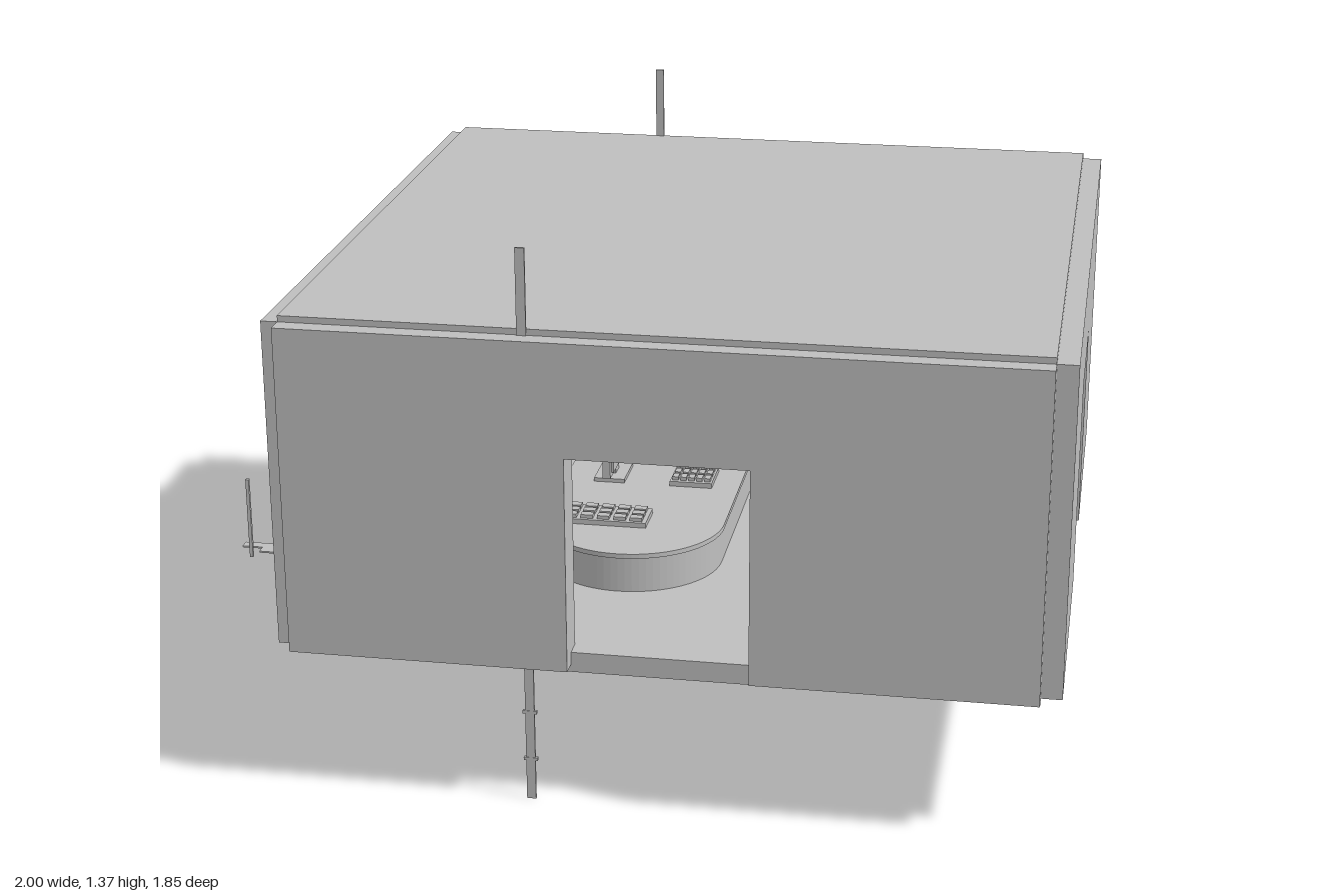
import * as THREE from 'three';

export function createModel() {
  const model = new THREE.Group();
  model.name = 'room';
  const grey = new THREE.MeshStandardMaterial({ color: 0xbfbfbf, side: THREE.DoubleSide });
  grey.name = 'plain grey';

  const add = (name, geometry, parent = model) => {
    const mesh = new THREE.Mesh(geometry, grey);
    mesh.name = name;
    parent.add(mesh);
    return mesh;
  };
  // Box given by its minimum and maximum along each axis
  const box = (name, [x0, x1], [y0, y1], [z0, z1], parent) => {
    const g = new THREE.BoxGeometry(x1 - x0, y1 - y0, z1 - z0);
    g.translate((x0 + x1) / 2, (y0 + y1) / 2, (z0 + z1) / 2);
    return add(name, g, parent);
  };

  const T = 0.09, BOTTOM = 0.36, TOP = 1.165, DOOR_TOP = 0.89;

  // Wall panel with an optional doorway and rectangular holes
  const wallGeometry = (u0, u1, door, holes = []) => {
    const s = new THREE.Shape();
    s.moveTo(u0, BOTTOM);
    if (door) {
      s.lineTo(door[0], BOTTOM);
      s.lineTo(door[0], DOOR_TOP);
      s.lineTo(door[1], DOOR_TOP);
      s.lineTo(door[1], BOTTOM);
    }
    s.lineTo(u1, BOTTOM);
    s.lineTo(u1, TOP);
    s.lineTo(u0, TOP);
    s.closePath();
    for (const [a, b, c, d] of holes) {
      const h = new THREE.Path();
      h.moveTo(a, c);
      h.lineTo(a, d);
      h.lineTo(b, d);
      h.lineTo(b, c);
      h.closePath();
      s.holes.push(h);
    }
    return new THREE.ExtrudeGeometry(s, { depth: T, bevelEnabled: false });
  };

  // Floor and roof slabs
  box('floor', [-0.81, 0.95], [0.34, 0.39], [-0.88, 0.875]);
  box('roof', [-0.81, 0.95], [1.13, 1.18], [-0.88, 0.875]);

  // Front and back walls with doorways
  add('frontWall', wallGeometry(-0.81, 0.95, [-0.14, 0.285]).translate(0, 0, 0.92 - T));
  add('backWall', wallGeometry(-0.81, 0.95, [-0.14, 0.285]).translate(0, 0, -0.925));

  // Side walls: a doorway on one, a window and two hatches on the other
  const side = (g, x) => g.rotateY(-Math.PI / 2).translate(x, 0, 0);
  add('leftWall', side(wallGeometry(-0.88, 0.875, [-0.2, 0.2]), 1));
  const hatches = [[-0.77, -0.47], [0.46, 0.76]];
  add('rightWall', side(wallGeometry(-0.88, 0.875, null, [
    [-0.295, 0.28, 0.7, 1.03],
    ...hatches.map(([a, b]) => [a, b, 0.52, 0.77]),
  ]), -0.85 + T));
  box('windowPane', [-0.81, -0.802], [0.7, 1.03], [-0.295, 0.28]);
  box('windowSill', [-0.77, -0.72], [0.68, 0.7], [-0.31, 0.295]);

  // Grilles in the hatches, with thin posts outside
  for (const [a, b] of hatches) {
    for (let i = 0; i < 5; i++) {
      const y = 0.56 + i * 0.042;
      box('grilleBar', [-0.83, -0.82], [y, y + 0.008], [a, b]);
    }
  }
  for (const z of [-0.755, -0.505, 0.495, 0.745]) {
    box('hatchPost', [-0.954, -0.946], [0.52, 0.72], [z - 0.004, z + 0.004]);
  }

  // Flat stepping plates outside the hatches: x range, z range
  const plates = [
    [[-1, -0.935], [-0.67, -0.61]], [[-0.945, -0.885], [-0.63, -0.565]],
    [[-0.875, -0.85], [-0.61, -0.57]], [[-0.99, -0.92], [0.67, 0.695]],
    [[-0.94, -0.87], [0.68, 0.72]], [[-0.92, -0.865], [0.645, 0.71]],
  ];
  for (const [x, z] of plates) box('hatchPlate', x, [0.52, 0.524], z);

  // Tall poles at the front and back, with small collars
  for (const z of [0.876, -0.878]) {
    box('pole', [-0.252, -0.23], [0, 1.37], [z - 0.003, z + 0.003]);
    for (const y of [0.105, 0.228]) {
      box('poleCollar', [-0.258, -0.224], [y - 0.004, y + 0.004], [z - 0.004, z + 0.004]);
    }
  }

  // Counter with rounded ends
  const counter = new THREE.Group();
  counter.name = 'counter';
  model.add(counter);
  const stadium = (r, half, y, h) => {
    const s = new THREE.Shape();
    s.absarc(0, half, r, 0, Math.PI, false);
    s.absarc(0, -half, r, Math.PI, Math.PI * 2, false);
    s.closePath();
    return new THREE.ExtrudeGeometry(s, { depth: h, bevelEnabled: false, curveSegments: 20 })
      .rotateX(-Math.PI / 2).translate(-0.1, y, 0);
  };
  add('counterBody', stadium(0.224, 0.29, 0.39, 0.09), counter);
  add('counterTop', stadium(0.23, 0.29, 0.48, 0.012), counter);

  // Keyboards with raised keys
  const keyboard = (x, z, w, d) => {
    box('keyboard', [x - w / 2, x + w / 2], [0.492, 0.505], [z - d / 2, z + d / 2], counter);
    for (let i = 0; i < 5; i++) {
      for (let j = 0; j < 3; j++) {
        const kx = x + (i - 2) * w * 0.19, kz = z + (j - 1) * d * 0.3;
        box('key', [kx - w * 0.07, kx + w * 0.07], [0.505, 0.514], [kz - d * 0.11, kz + d * 0.11], counter);
      }
    }
  };
  keyboard(0.005, 0, 0.11, 0.12);
  keyboard(-0.17, 0.3, 0.22, 0.1);

  // Monitor with a raised screen
  box('monitorBase', [-0.25, -0.17], [0.492, 0.502], [-0.06, 0.06], counter);
  box('monitorStand', [-0.22, -0.2], [0.5, 0.52], [-0.02, 0.02], counter);
  box('monitor', [-0.22, -0.2], [0.515, 0.62], [-0.09, 0.095], counter);
  box('monitorScreen', [-0.2, -0.195], [0.525, 0.605], [-0.07, 0.075], counter);

  return model;
}
